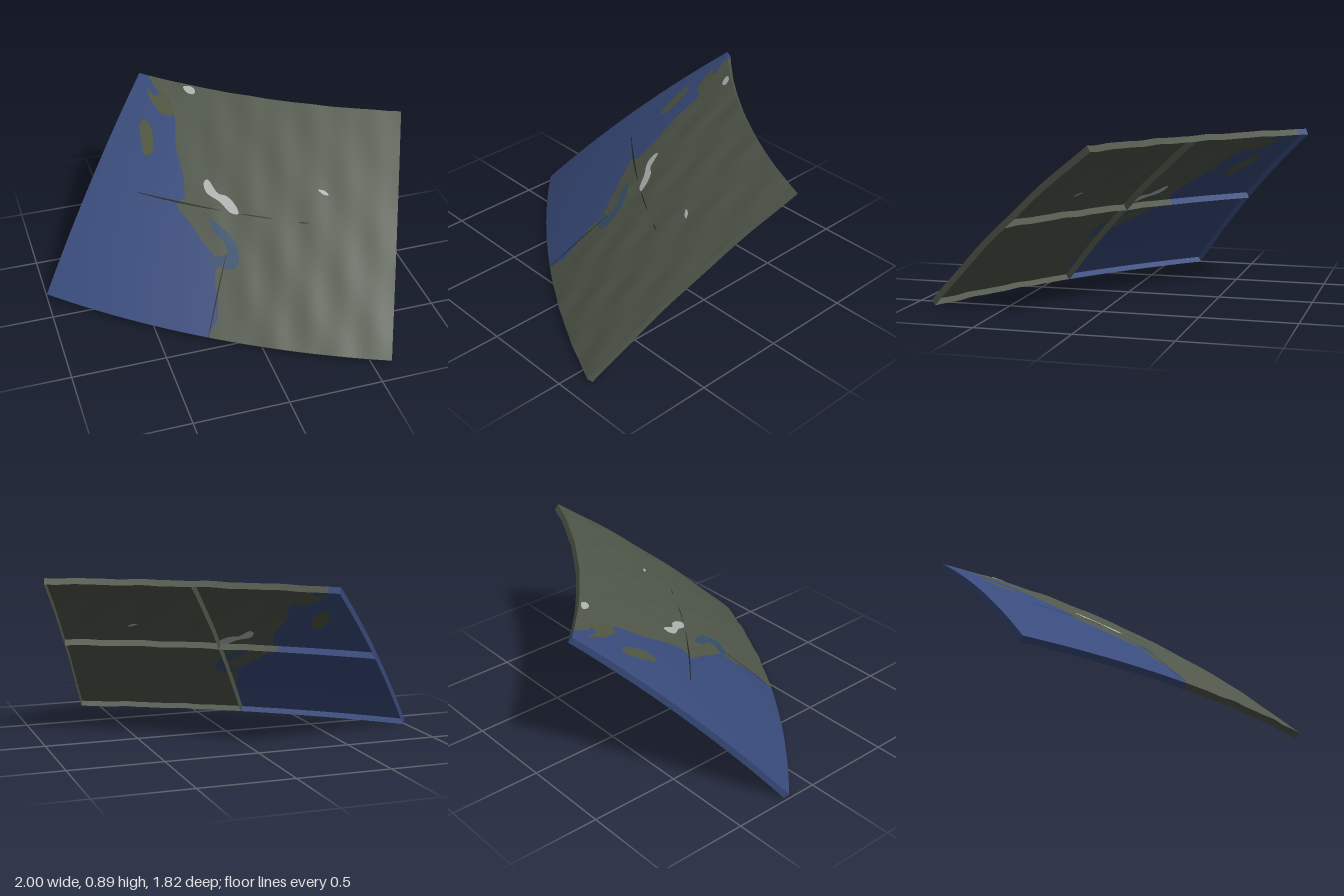
import * as THREE from 'three';

const R = 6.95, CENTRE = new THREE.Vector3(2.475, -4.886, -3.645);
const rad = THREE.MathUtils.degToRad;
const LON0 = rad(-45), LON1 = rad(-22.5), LAT0 = rad(45), LAT1 = rad(56.25);
const SKIRT = 0.035;

// shoreline as x for rising y
const COAST = [[-0.26, 0], [-0.25, 0.04], [-0.19, 0.1], [-0.165, 0.17], [-0.16, 0.24], [-0.12, 0.31],
  [-0.165, 0.36], [-0.2, 0.41], [-0.255, 0.475], [-0.2, 0.51], [-0.18, 0.58], [-0.18, 0.67],
  [-0.145, 0.76], [-0.14, 0.83], [-0.2, 0.855], [-0.22, 0.92]];

function coastX(y) {
  const i = Math.max(1, COAST.findIndex((p) => p[1] >= y));
  const [a, b] = [COAST[i - 1], COAST[i]];
  return a[0] + (b[0] - a[0]) * (y - a[1]) / (b[1] - a[1]);
}

// gentle land relief
function relief(x, y) {
  const land = THREE.MathUtils.clamp((x - coastX(Math.max(0, y))) * 6, 0, 1);
  return land * 0.002 * (Math.sin(x * 23 + y * 9) + Math.sin(x * 41 - y * 17) * 0.6);
}

// point on the globe from longitude and latitude (u, v in 0..1)
function globe(u, v, lift = 0) {
  const lon = LON0 + (LON1 - LON0) * u, lat = LAT0 + (LAT1 - LAT0) * v;
  const d = new THREE.Vector3(Math.cos(lat) * Math.sin(lon), Math.sin(lat), Math.cos(lat) * Math.cos(lon));
  const p = d.clone().multiplyScalar(R).add(CENTRE);
  return p.addScaledVector(d, lift + relief(p.x, p.y));
}

// point on the globe from front-facing x and y
function fromFront(x, y, lift) {
  const dx = x - CENTRE.x, dy = y - CENTRE.y;
  const d = new THREE.Vector3(dx, dy, Math.sqrt(R * R - dx * dx - dy * dy)).divideScalar(R);
  return d.clone().multiplyScalar(R + lift + relief(x, y)).add(CENTRE);
}

function coastU(v) {
  const lat = LAT0 + (LAT1 - LAT0) * v;
  const s = (coastX(R * Math.sin(lat) + CENTRE.y) - CENTRE.x) / (R * Math.cos(lat));
  return (Math.asin(s) - LON0) / (LON1 - LON0);
}

// grid surface from a function of (s, t)
function sheet(fn, cols, rows) {
  const pos = [], index = [];
  for (let j = 0; j <= rows; j++) {
    for (let i = 0; i <= cols; i++) {
      pos.push(...fn(i / cols, j / rows).toArray());
      if (i < cols && j < rows) {
        const a = j * (cols + 1) + i, b = a + cols + 1;
        index.push(a, a + 1, b + 1, a, b + 1, b);
      }
    }
  }
  const g = new THREE.BufferGeometry();
  g.setAttribute('position', new THREE.Float32BufferAttribute(pos, 3));
  g.setIndex(index);
  g.computeVertexNormals();
  return g;
}

export function createModel() {
  const group = new THREE.Group();
  const mat = (name, color) => {
    const m = new THREE.MeshStandardMaterial({ color, side: THREE.DoubleSide });
    m.name = name;
    return m;
  };
  const land = mat('land green', 0x50574a), sea = mat('sea blue', 0x394b7c);
  const lake = mat('inlet blue', 0x38506a), snow = mat('snow grey', 0xb0b4b1);
  const isle = mat('island olive', 0x4f5640), dark = mat('seam dark', 0x23271f);
  const add = (name, geometry, material) => {
    const m = new THREE.Mesh(geometry, material);
    m.name = name;
    group.add(m);
  };

  // main curved surface, split along the shoreline
  add('seaSurface', sheet((s, t) => globe(s * coastU(t), t), 24, 96), sea);
  add('landSurface', sheet((s, t) => {
    const c = coastU(t);
    return globe(c + (1 - c) * s, t);
  }, 40, 96), land);

  // skirts hanging inward from the tile borders
  const skirt = (name, u0, v0, u1, v1, material) => add(name, sheet((s, t) =>
    globe(u0 + (u1 - u0) * s, v0 + (v1 - v0) * s, -SKIRT * (1 - t)), 40, 1), material);
  const e = 0.0015;
  for (const [name, v] of [['bottom', 0], ['middleLower', 0.5 - e], ['middleUpper', 0.5 + e], ['top', 1]]) {
    const c = coastU(v);
    skirt(name + 'SeaSkirt', 0, v, c, v, sea);
    skirt(name + 'LandSkirt', c, v, 1, v, land);
  }
  skirt('seaSideSkirt', 0, 1, 0, 0, sea);
  skirt('landSideSkirt', 1, 0, 1, 1, land);
  skirt('centreSkirtA', 0.5 - e, 0, 0.5 - e, 1, land);
  skirt('centreSkirtB', 0.5 + e, 0, 0.5 + e, 1, land);

  // painted patches on both faces of the shell
  const patch = (name, points, material) => {
    const curve = new THREE.CatmullRomCurve3(points.map(([x, y]) => new THREE.Vector3(x, y, 0)), true);
    const shape = new THREE.Shape(curve.getPoints(points.length * 4).slice(0, -1)
      .map((p) => new THREE.Vector2(p.x, p.y)));
    for (const [side, lift] of [['Outer', 0.003], ['Inner', -0.003]]) {
      const g = new THREE.ShapeGeometry(shape), p = g.attributes.position;
      for (let i = 0; i < p.count; i++) p.setXYZ(i, ...fromFront(p.getX(i), p.getY(i), lift).toArray());
      g.computeVertexNormals();
      add(name + side, g, material);
    }
  };
  patch('inlet', [[-0.17, 0.31], [-0.12, 0.29], [-0.05, 0.29], [-0.015, 0.33], [-0.015, 0.39], [-0.06, 0.43],
    [-0.11, 0.445], [-0.1, 0.4], [-0.07, 0.38], [-0.065, 0.34], [-0.11, 0.325]], lake);
  patch('island', [[-0.345, 0.62], [-0.3, 0.64], [-0.275, 0.7], [-0.285, 0.74], [-0.32, 0.73], [-0.34, 0.68]], isle);
  patch('headland', [[-0.24, 0.85], [-0.21, 0.83], [-0.16, 0.85], [-0.14, 0.79], [-0.19, 0.77], [-0.23, 0.8]], isle);
  patch('mainSnow', [[-0.09, 0.57], [-0.065, 0.585], [-0.035, 0.545], [0.005, 0.54], [0.035, 0.515],
    [0.04, 0.487], [0, 0.485], [-0.035, 0.515], [-0.09, 0.54]], snow);
  patch('topSnow', [[-0.055, 0.88], [-0.01, 0.886], [0, 0.875], [-0.02, 0.862], [-0.05, 0.867]], snow);
  patch('smallSnow', [[0.46, 0.605], [0.49, 0.605], [0.505, 0.592], [0.48, 0.592]], snow);

  // tapered dark cracks where the tiles meet
  const crack = (u0, v0, u1, v1, w) => add('seamCrack', sheet((s, t) => {
    const k = (t - 0.5) * w * Math.sin(Math.PI * (0.1 + 0.8 * s));
    return globe(u0 + (u1 - u0) * s - (v0 === v1 ? 0 : k), v0 + (v1 - v0) * s + (v0 === v1 ? k : 0), 0.004);
  }, 16, 1), dark);
  crack(0.17, 0.5, 0.45, 0.5, 0.007);
  crack(0.52, 0.5, 0.62, 0.5, 0.005);
  crack(0.7, 0.5, 0.73, 0.5, 0.005);
  crack(0.5, 0, 0.5, 0.33, 0.004);

  return group;
}
